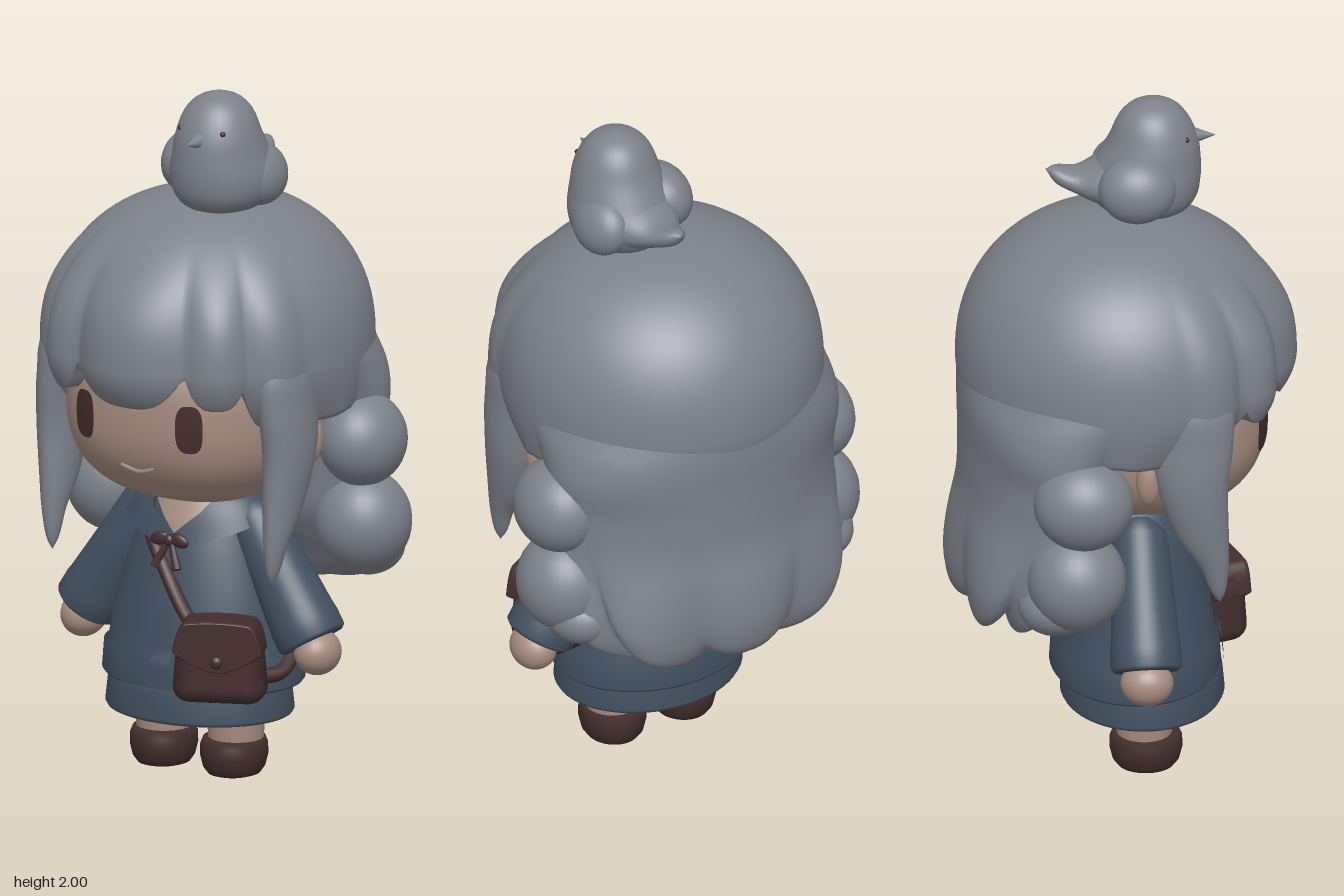
import * as THREE from 'three';
import { mergeVertices } from 'three/addons/utils/BufferGeometryUtils.js';
import { ParametricGeometry } from 'three/addons/geometries/ParametricGeometry.js';
import { RoundedBoxGeometry } from 'three/addons/geometries/RoundedBoxGeometry.js';

const V = (x, y, z) => new THREE.Vector3(x, y, z);
const { lerp, smoothstep, clamp } = THREE.MathUtils;
const TAU = Math.PI * 2;

export function createModel() {
  const model = new THREE.Group();
  const paint = (name, color) => {
    const m = new THREE.MeshStandardMaterial({ color, side: THREE.DoubleSide });
    m.name = name;
    return m;
  };
  const hair = paint('hairGrey', 0x7d828a);
  const skin = paint('skin', 0xa68c80);
  const cloth = paint('coatBlue', 0x425060);
  const brown = paint('darkBrown', 0x422d2c);

  const add = (name, geo, mat, x = 0, y = 0, z = 0, parent = model) => {
    const m = new THREE.Mesh(geo, mat);
    m.name = name;
    m.position.set(x, y, z);
    parent.add(m);
    return m;
  };
  const smooth = (geo) => {
    geo.deleteAttribute('uv');
    geo.deleteAttribute('normal');
    const g = mergeVertices(geo, 1e-5);
    g.computeVertexNormals();
    return g;
  };
  const surface = (fn, nu, nv) => smooth(new ParametricGeometry(fn, nu, nv));
  const ball = (name, mat, x, y, z, rx, ry = rx, rz = rx, parent = model) => {
    const m = add(name, new THREE.SphereGeometry(1, 28, 20), mat, x, y, z, parent);
    m.scale.set(rx, ry, rz);
    return m;
  };
  const lathe = (pts) => new THREE.LatheGeometry(pts.map(([r, y]) => new THREE.Vector2(r, y)), 56);

  // Smooth loft through horizontal rings [y, x, z, rx, rz], listed bottom to top
  const loft = (rows, nu = 32, nv = 28, bend = () => {}) => {
    const mid = new THREE.CatmullRomCurve3(rows.map(([y, x, z]) => V(x, y, z)), false, 'catmullrom');
    const rad = new THREE.CatmullRomCurve3(rows.map((r) => V(r[3], 0, r[4])), false, 'catmullrom');
    return surface((u, v, p) => {
      const a = (u === 1 ? 0 : u) * TAU, c = mid.getPoint(v), r = rad.getPoint(v);
      p.set(c.x + Math.max(r.x, 0) * Math.sin(a), c.y, c.z + Math.max(r.z, 0) * Math.cos(a));
      bend(p, a);
    }, nu, nv);
  };

  // Lay a flat geometry over a front surface
  const drape = (geo, depth, lift) => {
    const p = geo.attributes.position;
    for (let i = 0; i < p.count; i++) p.setZ(i, depth(p.getX(i), p.getY(i)) + lift);
    geo.computeVertexNormals();
    return geo;
  };

  // Head: softly squared ball
  const N = 2.5, HX = 0.36, HY = 0.3, HZ = 0.375;
  const faceZ = (x, y) => 0.04 + HZ * Math.pow(
    Math.max(0, 1 - Math.abs(x / HX) ** N - Math.abs((y - 1.1) / HY) ** N), 1 / N);
  const headGeo = new THREE.SphereGeometry(1, 56, 40), hp = headGeo.attributes.position;
  for (let i = 0; i < hp.count; i++) {
    const d = V().fromBufferAttribute(hp, i);
    const k = Math.pow(Math.abs(d.x) ** N + Math.abs(d.y) ** N + Math.abs(d.z) ** N, -1 / N);
    hp.setXYZ(i, d.x * k * HX, d.y * k * HY, d.z * k * HZ);
  }
  add('head', smooth(headGeo), skin, 0, 1.1, 0.04);

  // Eyes (rounded oblongs) and ears
  const round = (t) => Math.sign(t) * Math.abs(t) ** 0.7;
  for (const s of [-1, 1]) {
    const eye = new THREE.CircleGeometry(1, 40), ep = eye.attributes.position;
    for (let i = 0; i < ep.count; i++) {
      ep.setXY(i, s * 0.173 + 0.037 * round(ep.getX(i)), 1.085 + 0.07 * round(ep.getY(i)));
    }
    add('eye', drape(eye, faceZ, 0.007), brown);
    ball('ear', skin, s * 0.37, 1.02, 0.06, 0.035, 0.075, 0.035);
  }
  const smile = [[-0.055, 0.952], [0, 0.938], [0.055, 0.952]].map(([x, y]) => V(x, y, faceZ(x, y)));
  add('mouth', new THREE.TubeGeometry(new THREE.CatmullRomCurve3(smile), 16, 0.007, 6), skin);

  // Hair cap with scalloped bangs; v runs from the inner rim, round the hem and up to the crown
  const edges = [-0.385, 0.385, 0.785, 1.155, 1.6], hems = [1.14, 1.15, 1.08, 1.08];
  const amps = [0.042, 0.04, 0.024, 0], rise = [0.11, 0.1, 0.08, 0.01];
  add('hairCap', surface((u, v, p) => {
    const a = (u === 1 ? 0 : u) * TAU, b = Math.min(a, TAU - a);
    let bulge = 0, hem = 1.09, amp = 0;
    for (let i = 0; i < 4; i++) {
      if (b >= edges[i] && b < edges[i + 1]) {
        bulge = Math.sin(Math.PI * (b - edges[i]) / (edges[i + 1] - edges[i]));
        hem = hems[i] + rise[i] * (1 - bulge) ** 1.8;
        amp = amps[i];
      }
    }
    let y, k = 1;
    if (v > 0.35) {
      const f = (1 - v) / 0.65 * Math.PI / 2;
      y = 1.25 + 0.43 * Math.pow(Math.max(0, Math.cos(f)), 0.9);
      k = Math.pow(Math.sin(f), 0.9);
    } else {
      y = lerp(hem, 1.25, clamp((v - 0.05) / 0.3, 0, 1));
      const tuck = 0.025 + (Math.cos(a) > 0 ? 0.08 : -0.03) * Math.cos(a);
      k = 1 - tuck * ((1.25 - y) / 0.12) ** 2;
      if (v < 0.04) k *= 0.82;
    }
    const r = k * (1 + amp / 0.455 * Math.pow(bulge, 0.8) * (1 - smoothstep(y, 1.36, 1.66)));
    p.set(0.462 * r * Math.sin(a), y, (Math.cos(a) > 0 ? 0.455 : 0.468) * r * Math.cos(a));
  }, 160, 40), hair);

  // Long back hair whose rounded hem gathers into clumps
  add('backHair', loft([
    [0.505, 0, -0.325, 0, 0], [0.51, 0, -0.325, 0.25, 0.1], [0.545, 0, -0.32, 0.385, 0.15],
    [0.61, 0, -0.305, 0.44, 0.182], [0.68, 0, -0.28, 0.455, 0.21], [0.76, 0, -0.253, 0.455, 0.23],
    [0.87, 0, -0.232, 0.45, 0.233], [0.97, 0, -0.22, 0.452, 0.242], [1.08, 0, -0.205, 0.463, 0.258],
    [1.18, 0, -0.12, 0.46, 0.345], [1.27, 0, -0.02, 0.448, 0.435], [1.4, 0, 0, 0.4, 0.41], [1.5, 0, 0, 0, 0],
  ], 144, 72, (p, a) => {
    const low = 1 - smoothstep(p.y, 0.62, 0.95), back = smoothstep(-Math.cos(a), -0.3, 0.3);
    const clump = Math.abs(Math.cos(4 * a)) - 0.6;
    const k = 1 + 0.11 * clump * low * back;
    p.x *= k;
    p.z = (p.z + 0.22) * k - 0.22 + 0.3 * p.x * p.x * (1 - smoothstep(p.y, 1.0, 1.2));
    const side = Math.abs(p.x);
    p.y -= low * back * 0.06 * clump * Math.min(1, side * 3 + 0.2) - 0.22 * side * side * low;
  }), hair);

  for (const s of [-1, 1]) {
    // Two round curls at each side
    ball('upperCurl', hair, s * 0.425, 0.98, -0.125, 0.122, 0.135, 0.142).rotation.z = s * 0.15;
    ball('lowerCurl', hair, s * 0.415, 0.735, -0.145, 0.138, 0.148, 0.14);
    ball('hemCurl', hair, s * 0.4, 0.65, -0.2, 0.1, 0.085, 0.11);

    // Pointed locks framing the face, rooted under the cap
    add('sideLock', loft([
      [0.63, s * 0.365, 0.262, 0, 0], [0.67, s * 0.367, 0.257, 0.018, 0.022],
      [0.75, s * 0.37, 0.245, 0.033, 0.042], [0.85, s * 0.372, 0.212, 0.05, 0.075],
      [1.0, s * 0.377, 0.185, 0.064, 0.1], [1.14, s * 0.368, 0.18, 0.067, 0.12],
      [1.28, s * 0.342, 0.17, 0.07, 0.12], [1.46, s * 0.28, 0.14, 0, 0],
    ]), hair);
  }

  // Coat body with hem band
  const coatRows = [[0, 0.275], [0.295, 0.27], [0.303, 0.28], [0.297, 0.36], [0.283, 0.37],
    [0.262, 0.5], [0.215, 0.65], [0.175, 0.75], [0.13, 0.83], [0, 0.84]];
  const CZ = 0.04, FLAT = 0.8;
  const coatR = (y) => {
    let i = 1;
    while (i < coatRows.length - 2 && coatRows[i + 1][1] < y) i++;
    const [r0, y0] = coatRows[i], [r1, y1] = coatRows[i + 1];
    return lerp(r0, r1, clamp((y - y0) / (y1 - y0), 0, 1));
  };
  const coatZ = (x, y) => CZ + FLAT * Math.sqrt(Math.max(0, coatR(y) ** 2 - x * x));
  add('coat', lathe(coatRows), cloth, 0, 0, CZ).scale.z = FLAT;
  add('placket', drape(new THREE.PlaneGeometry(0.065, 0.4, 4, 24).translate(0.005, 0.48, 0), coatZ, 0.008), cloth);

  // Bare neckline and spread collar, dipping at the front
  add('neck', new THREE.CylinderGeometry(0.09, 0.1, 0.14, 24), skin, 0, 0.81, CZ);
  const vee = new THREE.PlaneGeometry(1, 1, 10, 10), vp = vee.attributes.position;
  for (let i = 0; i < vp.count; i++) {
    const t = vp.getY(i) + 0.5;
    vp.setXY(i, vp.getX(i) * 0.23 * t, 0.715 + 0.105 * t);
  }
  add('neckline', drape(vee, coatZ, 0.007), skin);
  add('collar', surface((u, v, p) => {
    const gap = lerp(0.06, 0.85, v), a = lerp(gap, TAU - gap, u), r = lerp(0.23, 0.145, v);
    const low = 0.755 - 0.065 * Math.max(0, Math.cos(a)) ** 2;
    p.set(r * Math.sin(a), lerp(low, 0.835, v) + 0.02 * Math.sin(Math.PI * v), CZ + FLAT * r * Math.cos(a));
  }, 64, 8), cloth);

  // Ribbon bow
  const bow = new THREE.Group();
  bow.name = 'bow';
  bow.position.set(0, 0.7, 0.222);
  model.add(bow);
  ball('bowKnot', brown, 0, 0, 0, 0.018, 0.018, 0.016, bow);
  for (const s of [-1, 1]) {
    ball('bowLoop', brown, s * 0.032, 0.002, 0, 0.032, 0.02, 0.012, bow).rotation.z = s * -0.25;
    const tail = add('bowTail', new THREE.CylinderGeometry(0.009, 0.014, 0.08, 8), brown, s * 0.022, -0.042, 0.01, bow);
    tail.rotation.set(-0.3, 0, s * 0.4);
  }

  // Sleeves, hands, legs and shoes
  for (const s of [-1, 1]) {
    const top = V(s * 0.17, 0.755, 0.045), end = V(s * 0.375, 0.42, 0.055);
    const dir = end.clone().sub(top), at = top.clone().add(end).multiplyScalar(0.5);
    const sleeve = add('sleeve', lathe([[0, -0.5], [0.09, -0.5], [0.101, -0.475], [0.101, -0.35], [0.098, -0.3],
      [0.09, 0], [0.078, 0.5], [0.048, 0.61], [0, 0.64]].map(([r, y]) => [r, y * dir.length()])), cloth, at.x, at.y, at.z);
    sleeve.quaternion.setFromUnitVectors(V(0, 1, 0), dir.normalize().negate());
    ball('hand', skin, s * 0.39, 0.392, 0.055, 0.064, 0.066, 0.075);
    add('leg', new THREE.CylinderGeometry(0.087, 0.078, 0.16, 28), skin, s * 0.12, 0.17, 0.06);
    add('shoe', lathe([[0, 0], [0.055, 0], [0.073, 0.006], [0.086, 0.025], [0.094, 0.06], [0.093, 0.09],
      [0.086, 0.108], [0, 0.11]]), brown, s * 0.117, 0, 0.065).scale.z = 1.1;
  }

  // Skirt, hollow underneath
  add('skirt', lathe([[0, 0.215], [0.245, 0.215], [0.26, 0.185], [0.274, 0.18], [0.28, 0.19], [0.272, 0.26],
    [0.262, 0.3], [0, 0.3]]), cloth, 0, 0, 0.06).scale.z = 0.83;

  // Shoulder bag, fuller at the bottom
  const bag = new THREE.Group();
  bag.name = 'bag';
  bag.position.set(0.195, 0.39, 0.262);
  bag.rotation.y = 0.4;
  model.add(bag);
  const bagGeo = new RoundedBoxGeometry(0.245, 0.245, 0.13, 6, 0.05), bp = bagGeo.attributes.position;
  for (let i = 0; i < bp.count; i++) {
    const k = 1.03 - bp.getY(i) * 0.7;
    bp.setX(i, bp.getX(i) * k);
    bp.setZ(i, bp.getZ(i) * k);
  }
  add('bagBody', bagGeo, brown, 0, 0, 0, bag);
  const flap = new THREE.Shape();
  flap.moveTo(-0.09, 0.1);
  flap.quadraticCurveTo(0, 0.112, 0.09, 0.1);
  flap.quadraticCurveTo(0.112, 0.09, 0.122, 0.02);
  flap.quadraticCurveTo(0.06, -0.03, 0, -0.035);
  flap.quadraticCurveTo(-0.06, -0.03, -0.122, 0.02);
  flap.quadraticCurveTo(-0.112, 0.09, -0.09, 0.1);
  add('bagFlap', new THREE.ExtrudeGeometry(flap, { depth: 0.09, bevelSize: 0.006, bevelThickness: 0.014, bevelSegments: 4 }),
    brown, 0, 0.013, -0.034, bag);
  ball('bagButton', brown, 0, 0.008, 0.074, 0.018, 0.018, 0.012, bag);

  // Strap wrapped round the coat, given as [angle, height], with a keeper at the back
  const onCoat = ([a, y]) => {
    const r = coatR(y) + 0.008;
    return V(r * Math.sin(a), y, CZ + FLAT * r * Math.cos(a));
  };
  const strap = [[-1.1, 0.82], [-0.6, 0.74], [0, 0.6], [0.35, 0.47], [0.8, 0.35], [1.3, 0.33], [1.8, 0.42],
    [2.3, 0.54], [3.2, 0.68], [3.9, 0.76], [4.6, 0.83]].map(onCoat);
  add('strap', new THREE.TubeGeometry(new THREE.CatmullRomCurve3(strap, true), 120, 0.022, 10, true), brown);
  const keeper = add('strapKeeper', new THREE.CapsuleGeometry(0.03, 0.07, 6, 14), brown);
  const k0 = onCoat([1.95, 0.46]), k1 = onCoat([2.2, 0.52]);
  keeper.position.copy(k0).lerp(k1, 0.5);
  keeper.quaternion.setFromUnitVectors(V(0, 1, 0), k1.sub(k0).normalize());

  // Little bird on the crown
  const bird = new THREE.Group();
  bird.name = 'bird';
  bird.position.set(0.085, 0, 0.09);
  model.add(bird);
  add('birdBody', loft([[1.65, 0, -0.015, 0, 0], [1.66, 0, -0.015, 0.09, 0.1], [1.7, 0, -0.02, 0.138, 0.147],
    [1.76, 0, -0.023, 0.15, 0.163], [1.82, 0, -0.008, 0.136, 0.147], [1.88, 0, 0.005, 0.121, 0.126],
    [1.94, 0, 0.005, 0.098, 0.1], [1.98, 0, 0.005, 0.06, 0.062], [2.0, 0, 0.005, 0, 0]]), hair, 0, 0, 0, bird);
  const tail = add('birdTail', loft([[-0.06, 0, 1.76, 0, 0], [0, 0, 1.76, 0.12, 0.095], [0.08, 0, 1.76, 0.13, 0.09],
    [0.15, -0.008, 1.755, 0.1, 0.065], [0.21, -0.014, 1.757, 0.062, 0.038], [0.27, -0.02, 1.778, 0.033, 0.026],
    [0.3, -0.022, 1.795, 0, 0]]), hair, 0, 0, 0, bird);
  tail.rotation.x = -Math.PI / 2;
  ball('birdWing', hair, -0.115, 1.77, -0.045, 0.085, 0.098, 0.11, bird).rotation.z = -0.3;
  ball('birdWing', hair, 0.093, 1.755, -0.06, 0.07, 0.09, 0.105, bird).rotation.z = 0.3;
  const beak = add('beak', new THREE.ConeGeometry(0.026, 0.07, 16), hair, 0.005, 1.878, 0.148, bird);
  beak.rotation.x = Math.PI / 2;
  for (const s of [-1, 1]) ball('birdEye', brown, s * 0.07, 1.9, 0.096, 0.008, 0.008, 0.008, bird);

  return model;
}
